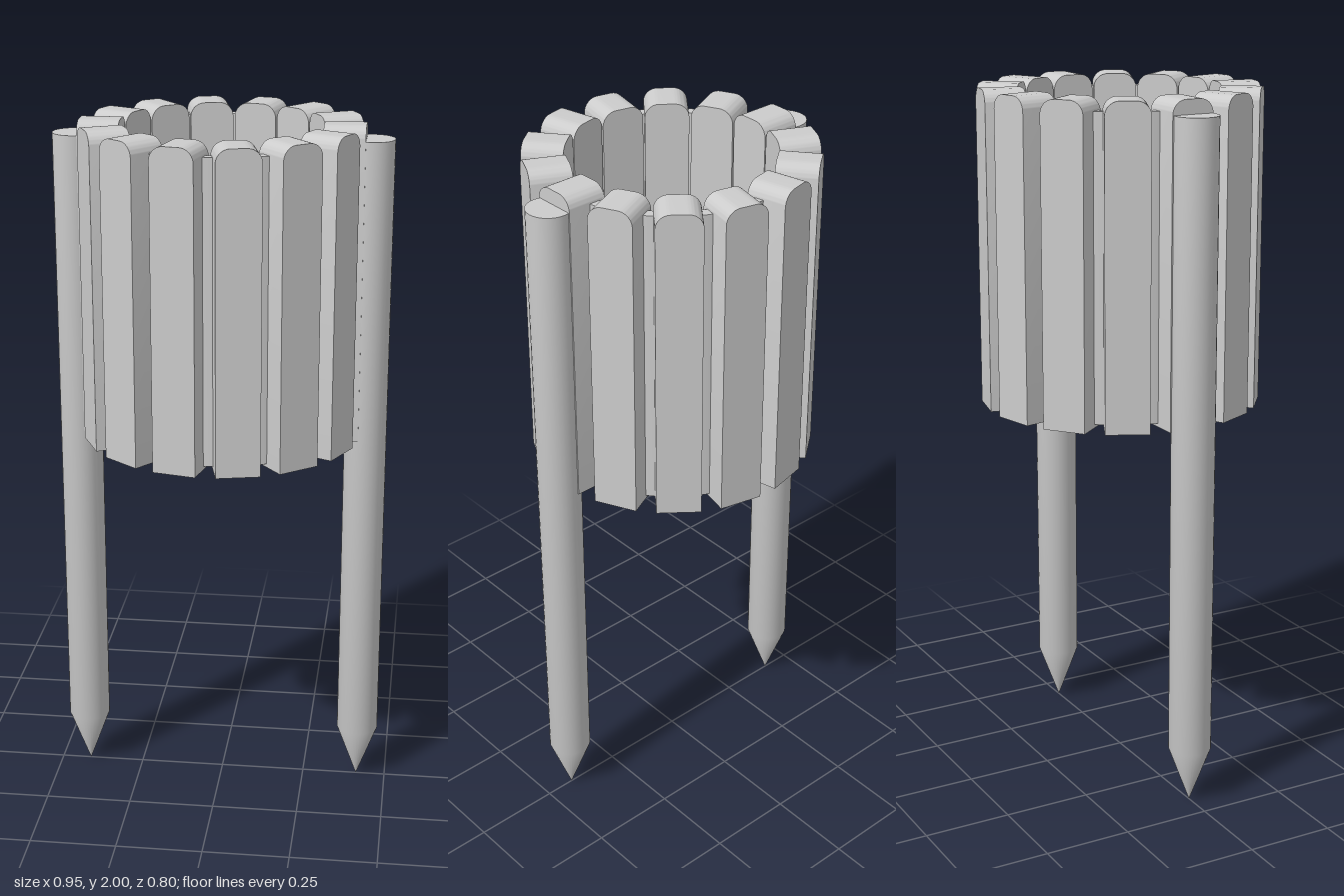
import * as THREE from 'three';
import { toCreasedNormals } from 'three/addons/utils/BufferGeometryUtils.js';

const SLATS = 14;
const BOTTOM = 1.105, TOP = 2;

export function createModel() {
  const model = new THREE.Group();
  model.name = 'stakedPlanter';
  const grey = new THREE.MeshStandardMaterial({ color: 0xcccccc });
  grey.name = 'light grey';

  const add = (geometry, name) => {
    const mesh = new THREE.Mesh(geometry, grey);
    mesh.name = name;
    model.add(mesh);
    return mesh;
  };

  // Upright slat with rounded top edges, set out at the inner radius
  const w = 0.0615, r = 0.04;
  const outline = new THREE.Shape();
  outline.moveTo(-w, BOTTOM);
  outline.lineTo(w, BOTTOM);
  outline.lineTo(w, TOP - r);
  outline.absarc(w - r, TOP - r, r, 0, Math.PI / 2);
  outline.lineTo(-w + r, TOP);
  outline.absarc(-w + r, TOP - r, r, Math.PI / 2, Math.PI);
  outline.closePath();
  const slat = toCreasedNormals(
    new THREE.ExtrudeGeometry(outline, { depth: 0.115, bevelEnabled: false, curveSegments: 8 }), 0.6);
  slat.translate(0, 0, 0.28);

  // Ring of slats, with one slat at each side
  for (let i = 0; i < SLATS; i++) {
    add(slat, 'slat').rotation.y = Math.PI / 2 + (i / SLATS) * Math.PI * 2;
  }

  // Hollow liner behind the slats, closed by a floor
  const lathe = (points, segments) => toCreasedNormals(
    new THREE.LatheGeometry(points.map(([x, y]) => new THREE.Vector2(x, y)), segments), 0.6);
  add(lathe([[0, 1.115], [0.335, 1.115], [0.335, 1.965], [0.305, 1.965],
    [0.305, 1.14], [0, 1.14]], 56), 'liner');

  // Round side stakes with pointed ends
  const stake = lathe([[0, 0], [0.061, 0.165], [0.061, 1.96], [0, 1.96]], 32);
  for (const side of [-1, 1]) {
    add(stake, side > 0 ? 'leftStake' : 'rightStake').position.x = side * 0.413;
  }

  return model;
}
